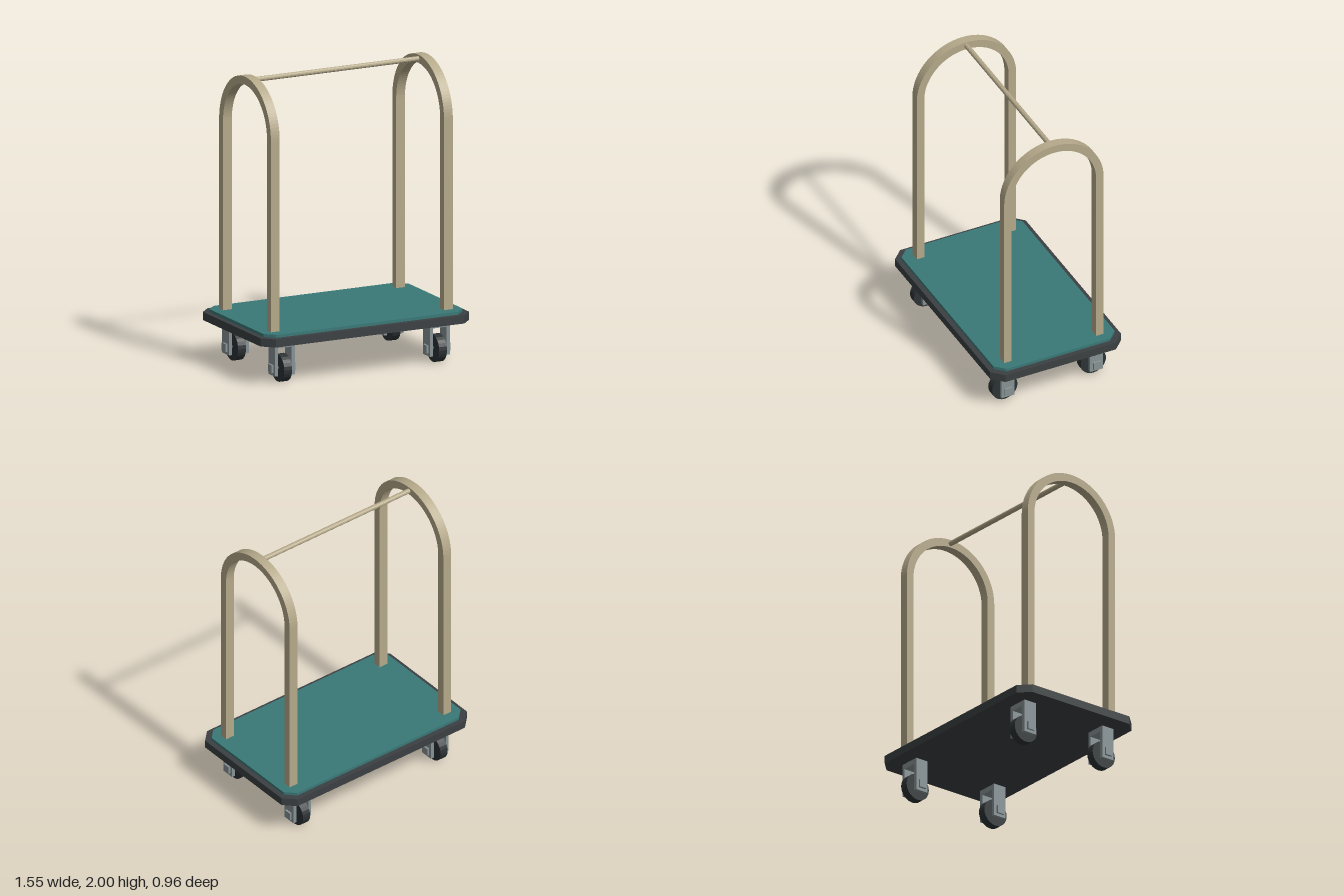
import * as THREE from 'three';

const mat = (color) => new THREE.MeshStandardMaterial({ color, flatShading: true });

export function createModel() {
  const brass = mat(0xb5a98a), teal = mat(0x397877), dark = mat(0x3b4042);
  const steel = mat(0x879294), rubber = mat(0x2c3234);
  const model = new THREE.Group();
  model.name = 'luggageCart';

  const add = (parent, name, geometry, material, x = 0, y = 0, z = 0) => {
    const mesh = new THREE.Mesh(geometry, material);
    mesh.name = name;
    mesh.position.set(x, y, z);
    parent.add(mesh);
    return mesh;
  };

  // Rectangular slab with cut corners, resting on its local y = 0
  const slab = (hx, hz, cut, height) => {
    const pts = [
      [hx, -hz + cut], [hx, hz - cut], [hx - cut, hz], [-hx + cut, hz],
      [-hx, hz - cut], [-hx, -hz + cut], [-hx + cut, -hz], [hx - cut, -hz],
    ].map(([x, z]) => new THREE.Vector2(x, z));
    return new THREE.ExtrudeGeometry(new THREE.Shape(pts), { depth: height, bevelEnabled: false })
      .rotateX(-Math.PI / 2);
  };
  add(model, 'deck', slab(0.775, 0.48, 0.075, 0.055), dark, 0, 0.275);
  add(model, 'carpet', slab(0.74, 0.445, 0.065, 0.02), teal, 0, 0.33);

  // Round-topped end frames
  const outer = 0.365, inner = 0.31, foot = 0.34, spring = 1.635, depth = 0.065;
  const arch = new THREE.Shape();
  arch.moveTo(outer, foot);
  arch.lineTo(outer, spring);
  arch.absarc(0, spring, outer, 0, Math.PI, false);
  arch.lineTo(-outer, foot);
  arch.lineTo(-inner, foot);
  arch.lineTo(-inner, spring);
  arch.absarc(0, spring, inner, Math.PI, 0, true);
  arch.lineTo(inner, foot);
  const archGeometry = new THREE.ExtrudeGeometry(arch, { depth, bevelEnabled: false, curveSegments: 24 })
    .translate(0, 0, -depth / 2).rotateY(Math.PI / 2);
  for (const s of [1, -1]) add(model, s > 0 ? 'leftFrame' : 'rightFrame', archGeometry, brass, s * 0.6425);

  // Hanging rail between the frames
  add(model, 'hangingRail', new THREE.CylinderGeometry(0.017, 0.017, 1.24, 12).rotateZ(Math.PI / 2), brass, 0, 1.973);

  // Casters: fork, wheel, axle and square bosses
  const wheel = new THREE.CylinderGeometry(0.093, 0.093, 0.058, 24).rotateZ(Math.PI / 2);
  const axle = new THREE.CylinderGeometry(0.013, 0.013, 0.14, 10).rotateZ(Math.PI / 2);
  for (const sx of [1, -1]) for (const sz of [1, -1]) {
    const caster = new THREE.Group();
    caster.name = (sz > 0 ? 'front' : 'back') + (sx > 0 ? 'Left' : 'Right') + 'Caster';
    caster.position.set(sx * 0.575, 0, sz * 0.325);
    model.add(caster);
    add(caster, 'forkTop', new THREE.BoxGeometry(0.148, 0.038, 0.095), steel, 0, 0.257);
    for (const s of [1, -1]) {
      add(caster, 'forkArm', new THREE.BoxGeometry(0.024, 0.192, 0.095), steel, s * 0.062, 0.144);
      add(caster, 'axleBoss', new THREE.BoxGeometry(0.046, 0.053, 0.053), steel, s * 0.065, 0.095);
    }
    add(caster, 'axle', axle, steel, 0, 0.095);
    add(caster, 'wheel', wheel, rubber, 0, 0.093);
  }
  return model;
}
